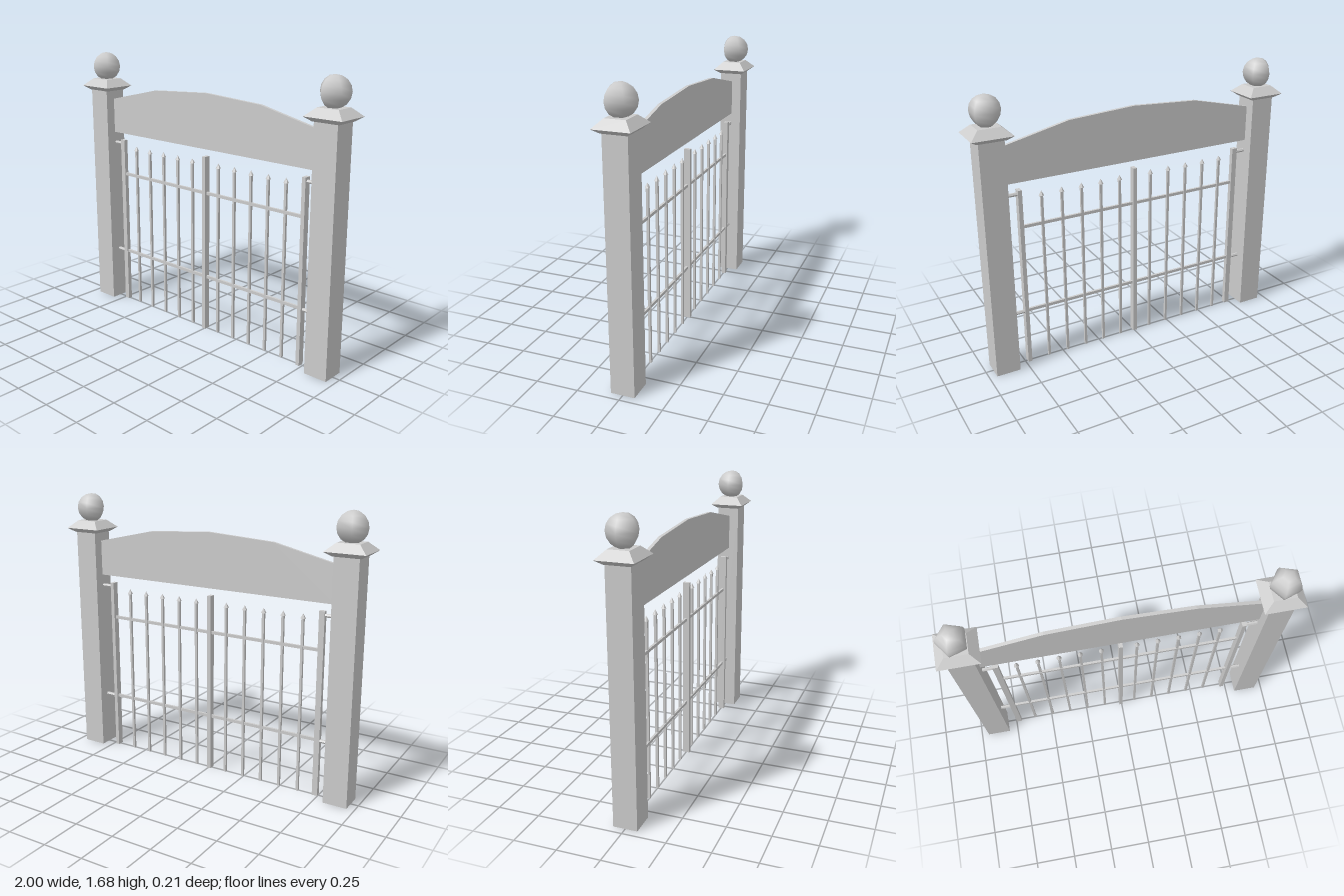
import * as THREE from 'three';

const flat = new THREE.MeshStandardMaterial({ color: 0xcccccc, flatShading: true });
const flatOpen = new THREE.MeshStandardMaterial({ color: 0xcccccc, flatShading: true, side: THREE.DoubleSide });
const smooth = new THREE.MeshStandardMaterial({ color: 0xcccccc });

export function createModel() {
  const model = new THREE.Group();
  model.name = 'gate';

  const add = (parent, name, geometry, x, y, z = 0, material = flat) => {
    const mesh = new THREE.Mesh(geometry, material);
    mesh.name = name;
    mesh.position.set(x, y, z);
    parent.add(mesh);
    return mesh;
  };

  // Square frustum given by half widths
  const frustum = (top, bottom, height, open, depthRatio) =>
    new THREE.CylinderGeometry(top * Math.SQRT2, bottom * Math.SQRT2, height, 4, 1, open)
      .rotateY(Math.PI / 4).scale(1, 1, depthRatio);

  // Pillars with a flared cap and a five-sided ball
  for (const side of [-1, 1]) {
    const pillar = new THREE.Group();
    pillar.name = side < 0 ? 'rightPillar' : 'leftPillar';
    pillar.position.x = side * 0.881;
    model.add(pillar);
    add(pillar, 'shaft', frustum(0.073, 0.073, 1.45, true, 0.96), 0, 0.725, 0, flatOpen);
    add(pillar, 'capUnderside', frustum(0.119, 0.082, 0.026, false, 0.89), 0, 1.452);
    add(pillar, 'capRoof', frustum(0.066, 0.119, 0.047, false, 0.89), 0, 1.4885);
    add(pillar, 'ball', new THREE.SphereGeometry(0.09, 5, 8), 0, 1.592, 0, smooth);
  }

  // Arched panel between the pillars
  const arch = new THREE.Shape([
    [-0.81, 1.165], [0.81, 1.165], [0.81, 1.385], [0.41, 1.475],
    [0, 1.5], [-0.42, 1.475], [-0.81, 1.385],
  ].map(([x, y]) => new THREE.Vector2(x, y)));
  const archGeometry = new THREE.ExtrudeGeometry(arch, { depth: 0.02, bevelEnabled: false });
  add(model, 'archPanel', archGeometry, 0, 0, -0.01);

  // Gate uprights
  for (const [name, x, width, depth] of [
    ['rightStile', -0.731, 0.034, 0.026],
    ['middleStile', -0.005, 0.024, 0.04],
    ['leftStile', 0.724, 0.024, 0.04],
  ]) add(model, name, new THREE.BoxGeometry(width, 1.12, depth), x, 0.56);

  // Horizontal rails
  for (const y of [0.35, 0.892])
    add(model, 'rail', new THREE.BoxGeometry(1.45, 0.018, 0.014), -0.003, y);

  // Hinge pins joining the gate to the pillars
  for (const y of [0.346, 1.095])
    for (const [x, length] of [[-0.777, 0.07], [0.772, 0.076]])
      add(model, 'hingePin', new THREE.CylinderGeometry(0.011, 0.011, length, 6).rotateZ(Math.PI / 2), x, y);

  // Pickets with pointed tips, five in each half
  for (const start of [-0.615, 0.094])
    for (let i = 0; i < 5; i++) {
      const x = start + i * 0.1245;
      add(model, 'picket', new THREE.BoxGeometry(0.015, 1.066, 0.015), x, 0.533, -0.003);
      add(model, 'picketTip', new THREE.ConeGeometry(0.016, 0.03, 6), x, 1.076, -0.003);
    }

  return model;
}
